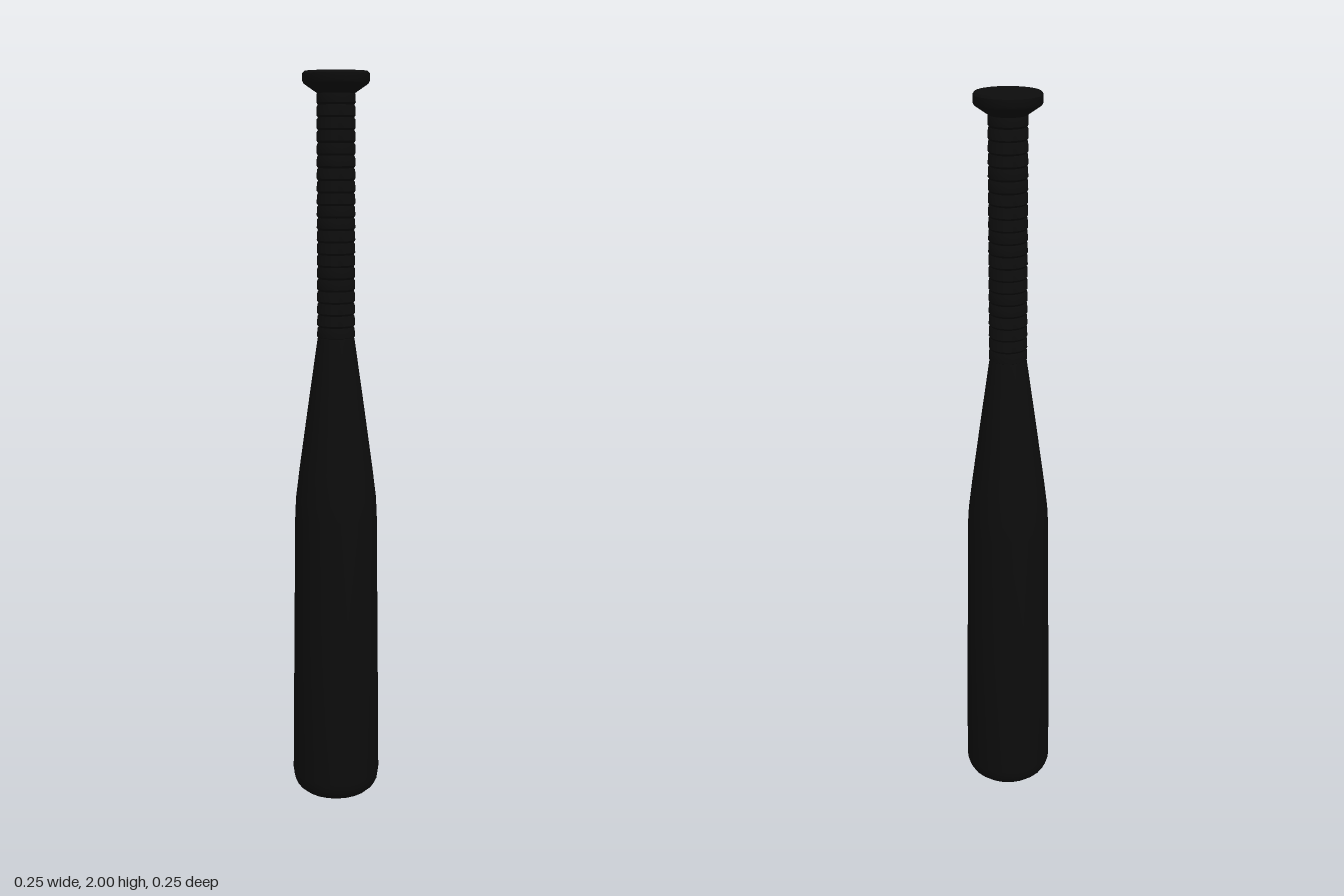
import * as THREE from 'three';
import { toCreasedNormals } from 'three/addons/utils/BufferGeometryUtils.js';

const SIDES = 24;

export function createModel() {
  const bat = new THREE.Group();
  bat.name = 'bat';
  const black = new THREE.MeshStandardMaterial({ color: 0x0c0c0c });

  // Turns a profile of [radius, height] pairs, listed from bottom to top
  function turned(name, profile) {
    const points = profile.map(([r, y]) => new THREE.Vector2(r, y));
    const geometry = toCreasedNormals(new THREE.LatheGeometry(points, SIDES), 0.6);
    const mesh = new THREE.Mesh(geometry, black);
    mesh.name = name;
    bat.add(mesh);
  }

  // Barrel with rounded end, tapering into the handle
  turned('barrel', [
    [0, 0], [0.085, 0], [0.1, 0.004], [0.112, 0.015], [0.12, 0.032], [0.123, 0.055],
    [0.118, 0.45], [0.113, 0.82], [0.11, 0.87], [0.1, 0.95], [0.075, 1.13], [0.05, 1.305], [0.044, 1.33],
  ]);

  // Handle grip: overlapping wraps of tape with small ridges
  const wraps = 20, bottom = 1.31, top = 1.95;
  const pitch = (top - bottom) / wraps;
  const grip = [[0.044, bottom]];
  for (let i = 0; i < wraps; i++) {
    const y = bottom + i * pitch;
    grip.push([0.051, y + pitch * 0.12], [0.05, y + pitch * 0.8], [0.047, y + pitch * 0.95]);
  }
  grip.push([0.047, top]);
  turned('grip', grip);

  // Flared knob closing the handle
  turned('knob', [
    [0.045, 1.942], [0.052, 1.947], [0.083, 1.968], [0.087, 1.975],
    [0.087, 1.994], [0.082, 2], [0, 2],
  ]);

  return bat;
}
